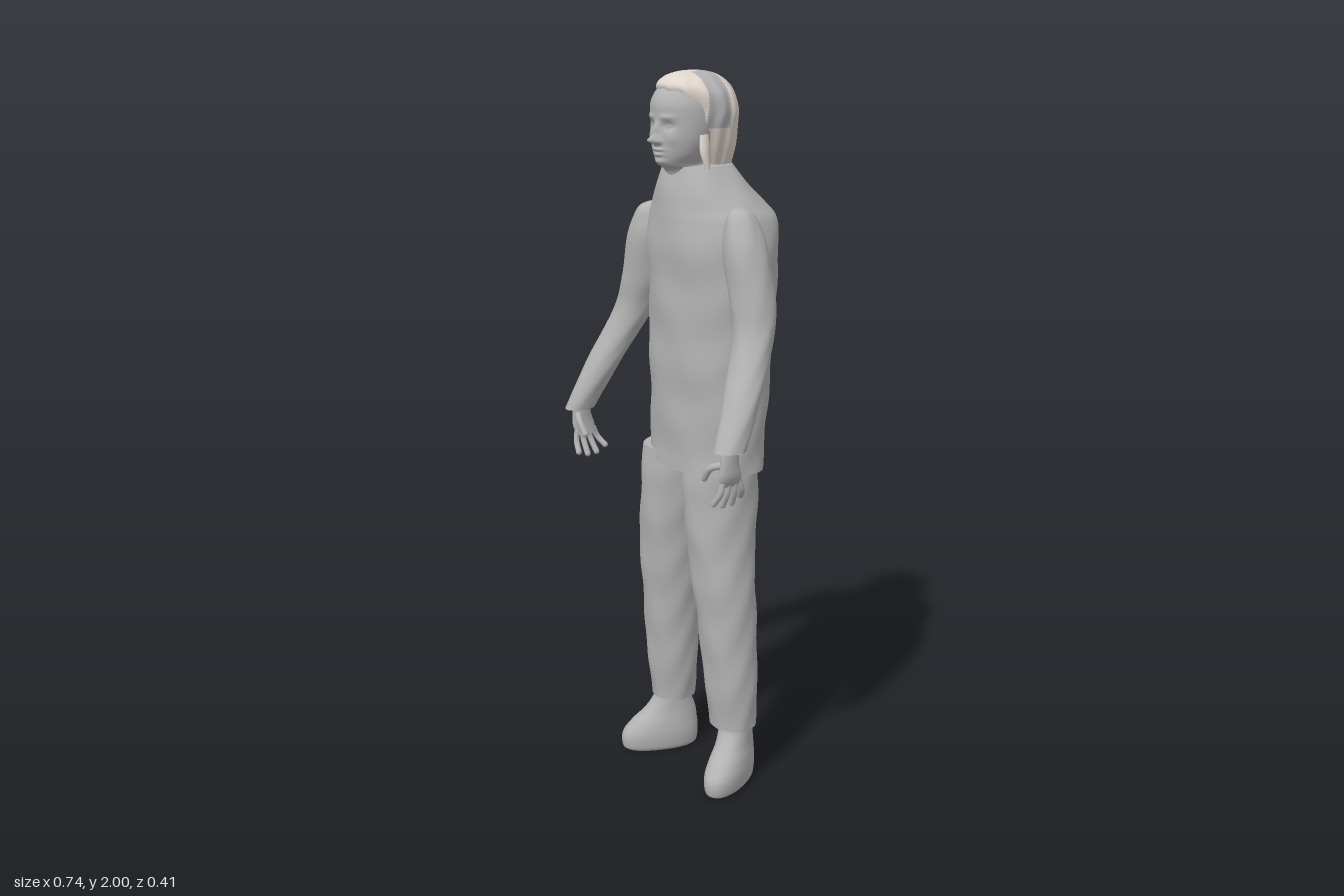
import * as THREE from 'three';

const cloth = new THREE.MeshStandardMaterial({ color: 0xb2b2b2 });
cloth.name = 'grey';
const hairMat = new THREE.MeshStandardMaterial({ color: 0xddd4cb });
hairMat.name = 'pale hair';

// Smooth loft through horizontal sections [y, cx, cz, rx, rz], bottom to top
function loft(sections, { around = 40, steps = 48, power = 2, warp = null } = {}) {
  const centre = new THREE.CatmullRomCurve3(
    sections.map(s => new THREE.Vector3(s[1], s[0], s[2])), false, 'catmullrom');
  const radius = new THREE.CatmullRomCurve3(
    sections.map(s => new THREE.Vector3(s[3], 0, s[4])), false, 'catmullrom');
  const round = v => Math.sign(v) * Math.pow(Math.abs(v), 2 / power);
  const pos = [], index = [], v = new THREE.Vector3();
  for (let i = 0; i <= steps; i++) {
    const c = centre.getPoint(i / steps), r = radius.getPoint(i / steps);
    for (let j = 0; j < around; j++) {
      const a = (j / around) * Math.PI * 2;
      v.set(c.x + r.x * round(Math.cos(a)), c.y, c.z + r.z * round(Math.sin(a)));
      if (warp) warp(v, a);
      pos.push(v.x, v.y, v.z);
    }
  }
  for (let i = 0; i < steps; i++) {
    for (let j = 0; j < around; j++) {
      const a = i * around + j, b = i * around + (j + 1) % around;
      index.push(a, a + around, b, b, a + around, b + around);
    }
  }
  // Flat end caps with their own vertices
  for (const top of [false, true]) {
    const ring = top ? steps * around : 0, start = pos.length / 3;
    const c = centre.getPoint(top ? 1 : 0);
    for (let j = 0; j < around; j++) pos.push(...pos.slice((ring + j) * 3, (ring + j) * 3 + 3));
    pos.push(c.x, c.y, c.z);
    for (let j = 0; j < around; j++) {
      const p = start + j, q = start + (j + 1) % around;
      index.push(start + around, top ? q : p, top ? p : q);
    }
  }
  const geo = new THREE.BufferGeometry();
  geo.setAttribute('position', new THREE.Float32BufferAttribute(pos, 3));
  geo.setIndex(index);
  geo.computeVertexNormals();
  return geo;
}

// Split faces into two material groups by a rule on their centre
function splitFaces(geo, rule) {
  const p = geo.attributes.position, sets = [[], []];
  const c = new THREE.Vector3(), v = new THREE.Vector3();
  for (let i = 0; i < geo.index.count; i += 3) {
    const tri = [0, 1, 2].map(k => geo.index.getX(i + k));
    c.set(0, 0, 0);
    tri.forEach(k => c.add(v.fromBufferAttribute(p, k)));
    sets[rule(c.divideScalar(3)) ? 1 : 0].push(...tri);
  }
  geo.setIndex([...sets[0], ...sets[1]]);
  geo.addGroup(0, sets[0].length, 0);
  geo.addGroup(sets[0].length, sets[1].length, 1);
  return geo;
}

// Soft folds in the fabric
const folds = amount => (v, a) => {
  const f = amount * (Math.sin(v.y * 31 + 2 * Math.sin(a * 2)) * Math.sin(a * 3 + v.y * 9));
  v.x += f * Math.cos(a);
  v.z += f * Math.sin(a);
};

// Facial relief: [x, y, width, height, depth], mirrored in x
const RELIEF = [
  [0, 1.826, 0.011, 0.011, 0.032], [0, 1.85, 0.009, 0.018, 0.014],
  [0.013, 1.822, 0.007, 0.006, 0.008],
  [0.034, 1.862, 0.016, 0.010, -0.011], [0.034, 1.862, 0.009, 0.005, 0.006],
  [0.033, 1.885, 0.022, 0.007, 0.005],
  [0, 1.801, 0.02, 0.004, 0.009], [0, 1.788, 0.017, 0.005, 0.008],
  [0, 1.768, 0.02, 0.009, 0.007], [0.045, 1.83, 0.016, 0.016, 0.004],
];
function sculptFace(v) {
  if (v.z < 0.04) return;
  const x = Math.abs(v.x);
  for (const [cx, cy, w, h, d] of RELIEF)
    v.z += d * Math.exp(-(((x - cx) / w) ** 2) - ((v.y - cy) / h) ** 2);
}

export function createModel() {
  const model = new THREE.Group();
  const add = (name, geo, mat = cloth, parent = model) => {
    const mesh = new THREE.Mesh(geo, mat);
    mesh.name = name;
    parent.add(mesh);
    return mesh;
  };

  // Long loose top with a sloping collar
  add('torso', loft([
    [0.925, 0.015, -0.022, 0.184, 0.126], [1.05, 0.015, -0.027, 0.184, 0.132],
    [1.2, 0.015, -0.033, 0.186, 0.142], [1.4, 0.015, -0.04, 0.19, 0.15],
    [1.54, 0.015, -0.043, 0.193, 0.157], [1.61, 0.012, -0.044, 0.184, 0.155],
    [1.65, 0.008, -0.034, 0.16, 0.14], [1.7, 0.004, -0.015, 0.125, 0.115],
    [1.755, 0, 0, 0.09, 0.09],
  ], { around: 64, steps: 72, power: 2.2, warp: folds(0.003) }));

  // Head and neck
  add('head', loft([
    [1.68, 0, 0.02, 0.05, 0.06], [1.74, 0, 0.035, 0.052, 0.062],
    [1.762, 0, 0.058, 0.05, 0.066], [1.79, 0, 0.055, 0.068, 0.077],
    [1.83, 0, 0.046, 0.083, 0.088], [1.88, 0, 0.035, 0.09, 0.1],
    [1.92, 0, 0.03, 0.088, 0.105], [1.955, 0, 0.025, 0.072, 0.09],
    [1.978, 0, 0.02, 0.045, 0.055], [1.988, 0, 0.02, 0.008, 0.01],
  ], { around: 128, steps: 110, warp: sculptFace }));

  // Hair, with a band of the other colour over the crown
  const hair = loft([
    [1.69, 0, -0.05, 0.03, 0.025], [1.74, 0, -0.045, 0.058, 0.046],
    [1.8, 0.003, -0.03, 0.083, 0.072], [1.86, 0.004, -0.014, 0.1, 0.088],
    [1.9, 0.004, -0.009, 0.107, 0.093], [1.94, 0.004, 0.006, 0.1, 0.1],
    [1.965, 0.002, 0.016, 0.084, 0.1], [1.985, 0, 0.018, 0.06, 0.078],
    [1.996, 0, 0.018, 0.032, 0.045], [2, 0, 0.018, 0.004, 0.005],
  ], {
    around: 128, steps: 110, warp: (v, a) => {
      const rough = 0.0025 * Math.sin(a * 13 + v.y * 40) * Math.min(1, (2 - v.y) * 20);
      v.x += rough * Math.cos(a);
      v.z += rough * Math.sin(a);
    },
  });
  add('hairWithBand', splitFaces(hair, c => c.y > 1.855 && c.z > -0.03 && c.z < 0.04
    && !(Math.abs(c.x) < 0.025 * Math.sqrt(Math.max(0, Math.min(1, c.z / 0.03))))), [hairMat, cloth]);

  // Loose strands beside the face
  [[0.085, 1.84, 0.1, 1.75], [-0.078, 1.84, -0.07, 1.775]].forEach(([x0, y0, x1, y1]) => {
    add('hairStrand', loft([
      [y1, x1, 0.045, 0.004, 0.006], [(y0 + y1) / 2, (x0 + x1) / 2, 0.05, 0.009, 0.014],
      [y0, x0, 0.045, 0.008, 0.014],
    ], { around: 12, steps: 12 }), hairMat);
  });

  // Sleeves
  add('rightArm', loft([
    [1.035, -0.338, 0.158, 0.036, 0.045], [1.15, -0.307, 0.11, 0.049, 0.047],
    [1.25, -0.277, 0.058, 0.055, 0.05], [1.34, -0.245, 0.022, 0.06, 0.055],
    [1.42, -0.217, 0.016, 0.063, 0.061], [1.54, -0.186, 0.018, 0.062, 0.06],
    [1.6, -0.176, 0.02, 0.045, 0.048], [1.625, -0.172, 0.02, 0.03, 0.035],
    [1.637, -0.168, 0.02, 0.008, 0.01],
  ], { warp: folds(0.0015) }));
  add('leftArm', loft([
    [1.06, 0.33, 0.16, 0.04, 0.046], [1.16, 0.31, 0.112, 0.049, 0.047],
    [1.26, 0.284, 0.06, 0.054, 0.05], [1.35, 0.263, 0.024, 0.059, 0.055],
    [1.43, 0.246, 0.016, 0.062, 0.061], [1.55, 0.222, 0.018, 0.06, 0.06],
    [1.615, 0.209, 0.02, 0.045, 0.048], [1.648, 0.203, 0.02, 0.028, 0.033],
    [1.66, 0.198, 0.02, 0.008, 0.01],
  ], { warp: folds(0.0015) }));

  // Hands: palm, four spread fingers and a thumb
  for (const side of [-1, 1]) {
    const hand = new THREE.Group();
    hand.name = side < 0 ? 'rightHand' : 'leftHand';
    const shift = side < 0 ? 0 : -0.012;
    const pt = (x, y, z) => new THREE.Vector3(side * (x + shift), y, z);
    const digit = (name, points, r) => {
      const path = new THREE.CatmullRomCurve3(points);
      add(name, new THREE.TubeGeometry(path, 12, r, 10), cloth, hand);
      add(name + 'Tip', new THREE.SphereGeometry(r, 10, 8), cloth, hand).position.copy(points.at(-1));
    };
    const s = x => side * (x + shift);
    add('palm', loft([
      [0.958, s(0.325), 0.146, 0.01, 0.032], [0.985, s(0.333), 0.15, 0.015, 0.036],
      [1.02, s(0.335), 0.155, 0.016, 0.03], [1.08, s(0.335), 0.155, 0.018, 0.024],
    ], { around: 24, steps: 20 }), cloth, hand);
    for (let i = 0; i < 4; i++) {
      const z0 = 0.174 - i * 0.018, z1 = 0.186 - i * 0.031;
      const tip = [0.912, 0.902, 0.903, 0.918][i];
      digit('finger', [pt(0.33, 0.975, z0), pt(0.327, 0.942, (z0 + z1) / 2), pt(0.308, tip, z1)], 0.0085);
    }
    digit('thumb', [pt(0.33, 1.02, 0.17), pt(0.298, 1.008, 0.188), pt(0.272, 0.975, 0.188)], 0.0095);
    model.add(hand);
  }

  // Trouser legs
  add('rightLeg', loft([
    [0.17, -0.128, -0.015, 0.064, 0.062], [0.3, -0.126, -0.01, 0.074, 0.072],
    [0.45, -0.122, -0.006, 0.082, 0.08], [0.6, -0.117, 0, 0.088, 0.088],
    [0.75, -0.103, -0.004, 0.094, 0.103], [0.86, -0.092, -0.01, 0.095, 0.113],
    [0.96, -0.088, -0.013, 0.094, 0.11],
  ], { power: 2.1, warp: folds(0.0025) }));
  add('leftLeg', loft([
    [0.17, 0.143, -0.015, 0.07, 0.062], [0.3, 0.14, -0.01, 0.076, 0.072],
    [0.45, 0.131, -0.006, 0.082, 0.08], [0.6, 0.117, 0, 0.086, 0.088],
    [0.75, 0.1, -0.004, 0.09, 0.103], [0.86, 0.09, -0.01, 0.089, 0.113],
    [0.96, 0.088, -0.013, 0.088, 0.11],
  ], { power: 2.1, warp: folds(0.0025) }));

  // Soft boots, toes turned outward
  for (const [name, x, yaw] of [['rightFoot', -0.145, -0.42], ['leftFoot', 0.172, 0.42]]) {
    const foot = add(name, loft([
      [0, 0, 0.005, 0.04, 0.1], [0.012, 0, 0.006, 0.05, 0.113],
      [0.05, 0, 0.004, 0.054, 0.115], [0.085, 0, -0.008, 0.051, 0.1],
      [0.12, 0, -0.026, 0.046, 0.077], [0.16, 0, -0.034, 0.045, 0.056],
      [0.2, 0, -0.034, 0.046, 0.05],
    ], { power: 2.2 }));
    foot.position.set(x, 0, 0.018);
    foot.rotation.y = yaw;
  }

  return model;
}
